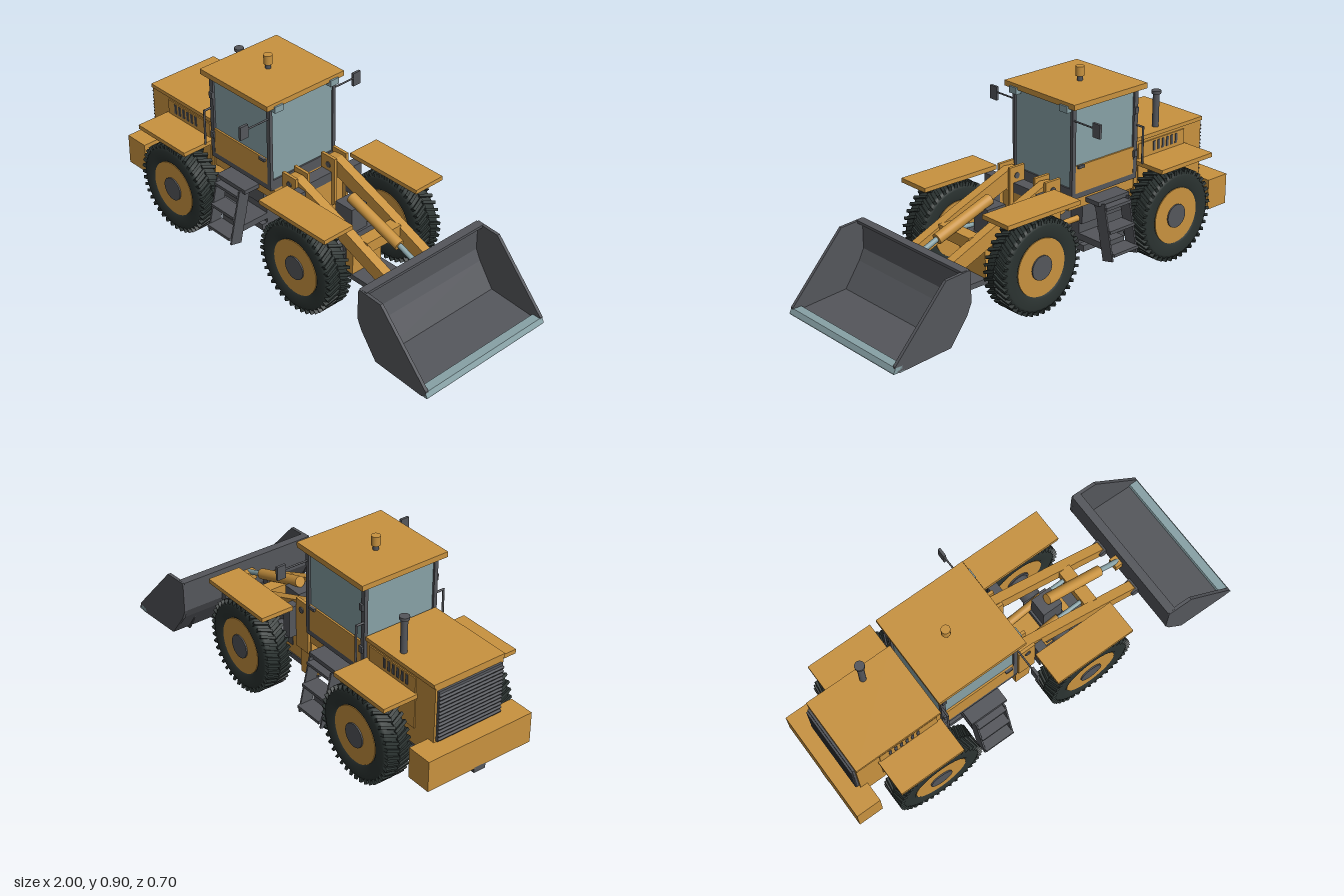
import * as THREE from 'three';

const mat = (name, color) => Object.assign(new THREE.MeshStandardMaterial({ color }), { name });

export function createModel() {
  const root = new THREE.Group();
  root.name = 'earthmover';
  const yellow = mat('yellow paint', 0xc8923f);
  const grey = mat('dark grey steel', 0x54565b);
  const black = mat('tyre rubber', 0x2b3331);
  const glass = mat('pale glass', 0x87a1a6);

  const add = (name, geo, m, parent = root) => {
    const mesh = new THREE.Mesh(geo, m);
    mesh.name = name;
    parent.add(mesh);
    return mesh;
  };
  // box from its limits along each axis
  const box = (name, m, x0, x1, y0, y1, z0, z1) => {
    const b = add(name, new THREE.BoxGeometry(x1 - x0, y1 - y0, Math.abs(z1 - z0)), m);
    b.position.set((x0 + x1) / 2, (y0 + y1) / 2, (z0 + z1) / 2);
    return b;
  };
  // round bar between two points
  const rod = (name, m, a, b, r, sides = 16) => {
    const p = new THREE.Vector3(...a), d = new THREE.Vector3(...b).sub(p);
    const c = add(name, new THREE.CylinderGeometry(r, r, d.length(), sides), m);
    c.position.copy(p).addScaledVector(d, 0.5);
    c.quaternion.setFromUnitVectors(new THREE.Vector3(0, 1, 0), d.normalize());
  };
  // flat plate: side outline in x and y, extruded along z
  const plate = (name, m, pts, z0, z1) => {
    const shape = new THREE.Shape(pts.map(p => new THREE.Vector2(...p)));
    const g = new THREE.ExtrudeGeometry(shape, { depth: Math.abs(z1 - z0), bevelEnabled: false });
    g.translate(0, 0, Math.min(z0, z1));
    add(name, g, m);
  };

  // wheels
  const tyreProfile = [[0.125, -0.05], [0.14, -0.062], [0.185, -0.063], [0.2, -0.056], [0.206, -0.045],
    [0.206, 0.045], [0.2, 0.056], [0.185, 0.063], [0.14, 0.062], [0.125, 0.05]].map(p => new THREE.Vector2(...p));
  const tyreGeo = new THREE.LatheGeometry(tyreProfile, 48).rotateX(Math.PI / 2);
  const lugGeo = new THREE.BoxGeometry(0.013, 0.022, 0.068);
  const wheel = (x, s) => {
    const w = new THREE.Group();
    w.name = 'wheel';
    add('tyre', tyreGeo, black, w);
    for (let i = 0; i < 40; i++) for (const side of [-1, 1]) {
      const a = (i + (side > 0 ? 0.5 : 0)) / 40 * Math.PI * 2;
      const lug = add('treadLug', lugGeo, black, w);
      lug.position.set(Math.sin(a) * 0.204, Math.cos(a) * 0.204, side * 0.03);
      lug.rotation.set(0, side * 0.4, -a, 'ZYX');
    }
    add('rim', new THREE.CylinderGeometry(0.13, 0.13, 0.116, 40).rotateX(Math.PI / 2), yellow, w);
    add('hub', new THREE.CylinderGeometry(0.055, 0.055, 0.128, 24).rotateX(Math.PI / 2), grey, w);
    w.position.set(x, 0.218, s * 0.268);
    root.add(w);
  };
  for (const x of [-0.607, 0.2]) {
    for (const s of [-1, 1]) wheel(x, s);
    rod('axle', grey, [x, 0.218, -0.22], [x, 0.218, 0.22], 0.045);
    box('axleHousing', grey, x - 0.06, x + 0.06, 0.16, 0.28, -0.09, 0.09);
  }

  // rear chassis, engine hood and counterweight
  box('rearBellyPlate', grey, -0.93, -0.23, 0.09, 0.12, -0.13, 0.13);
  box('rearChassis', grey, -0.95, -0.23, 0.12, 0.22, -0.1, 0.1);
  box('chassisUpper', grey, -0.5, -0.23, 0.22, 0.35, -0.12, 0.12);
  box('hood', yellow, -0.915, -0.49, 0.22, 0.56, -0.175, 0.175);
  box('hoodTop', yellow, -0.915, -0.49, 0.555, 0.573, -0.183, 0.183);
  box('counterweight', yellow, -1, -0.88, 0.15, 0.295, -0.27, 0.27);
  box('towHitch', grey, -1, -0.94, 0.13, 0.155, -0.03, 0.03);
  box('grille', grey, -0.925, -0.91, 0.3, 0.54, -0.165, 0.165);
  for (let i = 0; i < 13; i++) {
    const slat = box('grilleSlat', grey, -0.933, -0.92, 0.309 + i * 0.0175, 0.316 + i * 0.0175, -0.165, 0.165);
    slat.rotation.z = 0.5;
  }
  rod('exhaustPipe', grey, [-0.665, 0.57, -0.13], [-0.665, 0.735, -0.13], 0.015);
  rod('exhaustCap', grey, [-0.665, 0.728, -0.13], [-0.665, 0.742, -0.13], 0.022);

  // cab shell, windows and roof
  box('cabBase', yellow, -0.5, -0.1, 0.335, 0.39, -0.17, 0.17);
  box('cabFloor', grey, -0.49, -0.1, 0.39, 0.44, -0.188, 0.188);
  box('cabGlass', glass, -0.48, -0.107, 0.44, 0.8, -0.18, 0.18);
  box('cabTopRail', grey, -0.49, -0.1, 0.8, 0.812, -0.188, 0.188);
  box('roof', yellow, -0.512, -0.08, 0.81, 0.835, -0.22, 0.22);
  rod('beaconBase', grey, [-0.32, 0.835, 0], [-0.32, 0.858, 0], 0.013);
  rod('beacon', yellow, [-0.32, 0.857, 0], [-0.32, 0.9, 0], 0.02, 20);

  for (const s of [-1, 1]) {
    // cab side
    box('rearPillar', grey, -0.49, -0.468, 0.42, 0.81, s * 0.172, s * 0.19);
    box('frontPillar', grey, -0.12, -0.1, 0.41, 0.81, s * 0.174, s * 0.19);
    box('doorPanel', yellow, -0.468, -0.12, 0.415, 0.54, s * 0.18, s * 0.1885);
    box('doorHandle', grey, -0.165, -0.13, 0.53, 0.543, s * 0.188, s * 0.2);
    for (const y of [0.51, 0.71]) box('doorHinge', grey, -0.485, -0.465, y - 0.015, y + 0.015, s * 0.188, s * 0.199);
    box('workLight', glass, -0.1, -0.072, 0.79, 0.82, s * 0.135, s * 0.182);
    rod('mirrorArm', grey, [-0.11, 0.75, s * 0.185], [-0.11, 0.75, s * 0.31], 0.004, 8);
    box('mirror', grey, -0.117, -0.105, 0.712, 0.775, s * 0.302, s * 0.345);
    rod('handrail', grey, [-0.485, 0.47, s * 0.228], [-0.485, 0.643, s * 0.228], 0.005, 8);
    rod('handrailTop', grey, [-0.485, 0.64, s * 0.185], [-0.485, 0.64, s * 0.228], 0.005, 8);

    // hood side panel and air slots
    box('hoodSidePanel', yellow, -0.8, -0.51, 0.3, 0.54, s * 0.174, s * 0.18);
    for (let i = 0; i < 6; i++)
      box('airSlot', grey, -0.755 + i * 0.028, -0.742 + i * 0.028, 0.487, 0.532, s * 0.178, s * 0.183);

    // fenders
    box('rearFender', yellow, -0.81, -0.49, 0.45, 0.47, s * 0.17, s * 0.345);
    box('frontFender', yellow, 0, 0.4, 0.45, 0.47, s * 0.185, s * 0.345);
    box('fenderBracket', grey, 0.02, 0.065, 0.3, 0.45, s * 0.14, s * 0.19);

    // access ladder
    box('stepPlatform', grey, -0.385, -0.2, 0.352, 0.372, s * 0.12, s * 0.25);
    for (const [y, z] of [[0.34, 0.24], [0.24, 0.265], [0.14, 0.29]])
      box('ladderStep', grey, -0.37, -0.222, y - 0.007, y + 0.007, s * (z - 0.04), s * (z + 0.04));
    for (const x of [-0.37, -0.222]) {
      const rail = box('ladderRail', grey, x - 0.004, x + 0.004, 0.1, 0.36, s * 0.235, s * 0.295);
      rail.rotation.x = -s * 0.22;
    }
    box('ladderBracket', grey, -0.36, -0.23, 0.14, 0.17, s * 0.1, s * 0.25);

    // towers, lift arms and cylinders
    for (const z of [0.08, 0.148])
      box('towerPlate', yellow, -0.065, 0.02, 0.25, 0.493, s * (z - 0.007), s * (z + 0.007));
    plate('liftArm', yellow, [[-0.06, 0.43], [-0.05, 0.475], [0, 0.48], [0.3, 0.365], [0.59, 0.245],
      [0.61, 0.21], [0.58, 0.18], [0.4, 0.25], [0.25, 0.31], [-0.03, 0.41]], s * 0.094, s * 0.138);
    rod('armPin', grey, [-0.02, 0.45, s * 0.07], [-0.02, 0.45, s * 0.16], 0.014);
    rod('bucketPin', grey, [0.595, 0.212, s * 0.085], [0.595, 0.212, s * 0.148], 0.025);
    rod('liftCylinder', yellow, [0.03, 0.25, s * 0.062], [0.22, 0.3, s * 0.062], 0.019);
    rod('liftRod', glass, [0.2, 0.295, s * 0.062], [0.38, 0.31, s * 0.062], 0.01);
    rod('steeringCylinder', yellow, [-0.26, 0.24, s * 0.09], [-0.06, 0.24, s * 0.09], 0.014);
  }

  // articulated joint
  rod('articulationPost', grey, [-0.155, 0.11, 0], [-0.155, 0.335, 0], 0.05, 24);
  for (const y of [0.13, 0.285]) {
    rod('jointPlate', yellow, [-0.155, y - 0.017, 0], [-0.155, y + 0.017, 0], 0.062, 24);
    box('jointTongue', yellow, -0.155, -0.06, y - 0.017, y + 0.017, -0.06, 0.06);
  }
  box('rearJointBlock', grey, -0.24, -0.16, 0.14, 0.34, -0.05, 0.05);

  // front frame
  box('frontBellyPlate', grey, -0.05, 0.45, 0.09, 0.115, -0.09, 0.09);
  box('frontFrame', yellow, -0.075, 0.0, 0.125, 0.375, -0.145, 0.145);
  box('frontFrameBody', yellow, 0, 0.3, 0.115, 0.25, -0.085, 0.085);
  box('towerCrossbeam', grey, -0.06, 0.0, 0.375, 0.42, -0.075, 0.075);
  box('cylinderMount', grey, 0.15, 0.25, 0.25, 0.4, -0.045, 0.045);
  box('armCrossbeam', yellow, 0.34, 0.4, 0.28, 0.335, -0.1, 0.1);

  // tilt cylinder
  rod('tiltCylinder', yellow, [0.2, 0.425, 0], [0.49, 0.325, 0], 0.025, 20);
  rod('tiltRod', glass, [0.48, 0.329, 0], [0.6, 0.283, 0], 0.012);
  box('tiltLug', yellow, 0.57, 0.615, 0.255, 0.295, -0.025, 0.025);

  // bucket
  plate('bucketShell', grey, [[0.605, 0.345], [0.603, 0.2], [0.63, 0.15], [0.71, 0.035], [0.97, 0.018],
    [0.97, 0.032], [0.72, 0.05], [0.645, 0.16], [0.62, 0.21], [0.62, 0.332], [0.645, 0.332], [0.645, 0.345]],
  -0.345, 0.345);
  for (const s of [-1, 1])
    plate('bucketSide', grey, [[0.605, 0.335], [0.61, 0.345], [0.73, 0.337], [0.992, 0.05], [0.992, 0.03],
      [0.97, 0.018], [0.71, 0.035], [0.625, 0.15], [0.602, 0.2]], s * 0.337, s * 0.352);
  plate('cuttingEdge', glass, [[0.945, 0.032], [0.945, 0.022], [1, 0.02], [1, 0.026], [0.99, 0.046], [0.95, 0.046]],
    -0.352, 0.352);
  for (let i = -2; i <= 2; i++)
    plate('wearRib', grey, [[0.64, 0.14], [0.705, 0.025], [0.96, 0.009], [0.96, 0.022], [0.72, 0.04]],
      i * 0.132 - 0.004, i * 0.132 + 0.004);
  return root;
}
